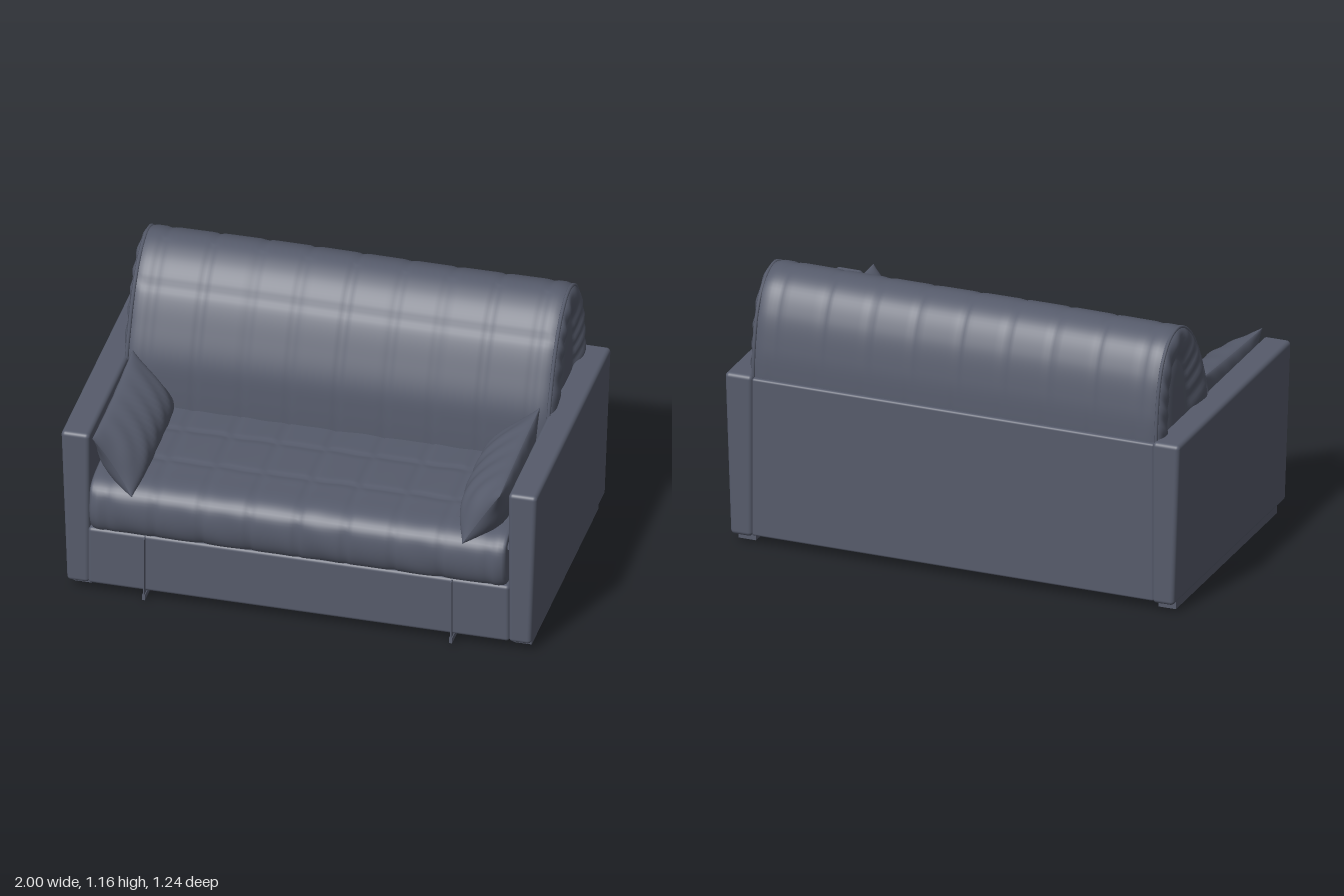
import * as THREE from 'three';
import { RoundedBoxGeometry } from 'three/addons/geometries/RoundedBoxGeometry.js';

const fabric = new THREE.MeshStandardMaterial({ color: 0x565b6b, side: THREE.DoubleSide });
fabric.name = 'slate fabric';

function add(parent, name, geometry, x = 0, y = 0, z = 0) {
  const mesh = new THREE.Mesh(geometry, fabric);
  mesh.name = name;
  mesh.position.set(x, y, z);
  parent.add(mesh);
  return mesh;
}

// Box given by its limits, with softened edges
function block(parent, name, x0, x1, y0, y1, z0, z1, r) {
  const geometry = r
    ? new RoundedBoxGeometry(x1 - x0, y1 - y0, z1 - z0, 3, r)
    : new THREE.BoxGeometry(x1 - x0, y1 - y0, z1 - z0);
  return add(parent, name, geometry, (x0 + x1) / 2, (y0 + y1) / 2, (z0 + z1) / 2);
}

// Smooth surface over an nu by nv grid of points f(i, j)
function surface(nu, nv, f) {
  const points = [], index = [];
  for (let i = 0; i <= nu; i++) for (let j = 0; j <= nv; j++) points.push(...f(i, j));
  for (let i = 0; i < nu; i++) for (let j = 0; j < nv; j++) {
    const a = i * (nv + 1) + j, b = a + nv + 1;
    index.push(a, b, a + 1, b, b + 1, a + 1);
  }
  const geometry = new THREE.BufferGeometry();
  geometry.setAttribute('position', new THREE.Float32BufferAttribute(points, 3));
  geometry.setIndex(index);
  geometry.computeVertexNormals();
  return geometry;
}

// Smooth profile through [z, y] pairs, sampled evenly
function profile(pairs, n) {
  const curve = new THREE.CatmullRomCurve3(pairs.map(([z, y]) => new THREE.Vector3(0, y, z)), false, 'centripetal');
  return curve.getSpacedPoints(n);
}

// Stations across the width: [x, inset], mirrored at both ends
function stations(end, half, n) {
  const list = end.map(([x, k]) => [-x, k]).reverse();
  for (let i = 0; i <= n; i++) list.push([-half + (2 * half * i) / n, 0]);
  return list.concat(end);
}

// Depth of a stitched groove at distance d
const groove = (d, w) => Math.exp(-((d / w) ** 2));
// Distance to the nearest seam, seams every 0.2
const seamDistance = x => Math.abs(x / 0.2 - Math.round(x / 0.2)) * 0.2;

// Arched back cushion with gathered ends and an oval end panel
function backCushion() {
  const n = 96;
  const outer = profile([[-0.02, 0.48], [-0.03, 0.64], [-0.045, 0.75], [-0.09, 0.87], [-0.165, 1.015], [-0.265, 1.12],
    [-0.372, 1.16], [-0.48, 1.12], [-0.548, 1.015], [-0.583, 0.87], [-0.594, 0.75], [-0.596, 0.48]], n);
  const inner = profile([[-0.22, 0.48], [-0.235, 0.72], [-0.262, 0.86], [-0.3, 0.97], [-0.365, 1.02],
    [-0.425, 0.98], [-0.452, 0.86], [-0.455, 0.72], [-0.455, 0.48]], n);
  const rows = stations([[0.875, 0.03], [0.89, 0.07], [0.9, 0.14], [0.907, 0.24], [0.909, 0.36], [0.905, 0.52],
    [0.897, 0.7], [0.886, 0.88], [0.874, 1], [0.882, 1.08], [0.887, 1.4], [0.888, 2]], 0.855, 100);
  const p = new THREE.Vector3(), middle = new THREE.Vector3();
  const geometry = surface(rows.length - 1, n, (i, j) => {
    let [x, k] = rows[i];
    const t = j / n;
    if (k <= 1) p.copy(outer[j]).lerp(inner[j], k);
    else {
      middle.set(0, 0.48 + (inner[j].y - 0.48) * 0.75, -0.355);
      p.copy(inner[j]).lerp(middle, k - 1);
    }
    if (k === 0) {
      // shallow quilting and a slightly uneven top
      const dip = 0.004 * groove(seamDistance(x), 0.012) + 0.003 * groove(t - 0.36, 0.012);
      p.y -= dip + 0.003 * Math.sin(x * 5) * t;
      p.z += (t < 0.5 ? -1 : 1) * dip;
    } else if (k < 1) {
      // gathers around the ends
      x += Math.sign(x) * 0.005 * Math.sin(Math.PI * k) * Math.sin(t * 95 + 1.5 * Math.sin(t * 17));
    }
    return [x, p.y, p.z];
  });
  return { geometry, outer };
}

// Quilted seat cushion with a bulging front
function seatCushion() {
  const n = 70;
  const section = profile([[0.5, 0.3], [0.575, 0.305], [0.604, 0.345], [0.616, 0.42], [0.6, 0.49], [0.55, 0.53],
    [0.42, 0.545], [0.2, 0.55], [0, 0.548], [-0.12, 0.545]], n);
  const rows = stations([[0.86, 0.02], [0.87, 0.05], [0.875, 0.1], [0.875, 0.3]], 0.84, 100);
  return surface(rows.length - 1, n, (i, j) => {
    const [x, k] = rows[i], p = section[j];
    const onTop = THREE.MathUtils.smoothstep(p.y, 0.46, 0.53);
    const seam = groove(seamDistance(x), 0.012);
    const cross = onTop * Math.max(groove(p.z - 0.13, 0.014), groove(p.z - 0.36, 0.014));
    const fold = 0.0025 * Math.sin(x * 31 + p.z * 14 + p.y * 20) * Math.sin(x * 7 + 1);
    const y = p.y + (0.42 - p.y) * k - onTop * (0.006 * Math.max(seam, cross) - fold);
    const z = p.z - k * 0.25 * (1 - onTop) - (1 - onTop) * (0.007 * seam - fold);
    return [x, y, z];
  });
}

// Soft pillow with pinched corners; thickness runs along x
function pillowSide(side) {
  const n = 32;
  return surface(n, n, (i, j) => {
    const a = Math.sin((i / n - 0.5) * Math.PI), b = side * Math.sin((j / n - 0.5) * Math.PI);
    const puff = Math.pow(Math.max(0, (1 - a ** 4) * (1 - b * b)), 0.6);
    const crease = 0.004 * Math.sin(a * 16 + b * 6) * puff;
    return [
      -side * (0.1 * puff * (1 - 0.35 * b) + crease),
      0.155 * b * (1 - 0.07 * (1 - a * a)),
      0.325 * a * (1 - 0.06 * (1 - b * b)),
    ];
  });
}

// Arm with its outer face leaning in towards the floor
function armGeometry(side) {
  const geometry = new RoundedBoxGeometry(0.12, 0.71, 1.195, 4, 0.018);
  const pos = geometry.attributes.position;
  for (let i = 0; i < pos.count; i++) {
    if (pos.getX(i) * side > 0) pos.setX(i, pos.getX(i) - side * 0.025 * (0.5 - pos.getY(i) / 0.71));
  }
  return geometry;
}

export function createModel() {
  const sofa = new THREE.Group();
  sofa.name = 'sofa';

  // Body
  block(sofa, 'base', -0.885, 0.885, 0.04, 0.305, -0.6, 0.578, 0.015);
  block(sofa, 'backPanel', -0.885, 0.885, 0.04, 0.735, -0.61, -0.565, 0.01);

  // Cushions
  add(sofa, 'seatCushion', seatCushion());
  const back = backCushion();
  add(sofa, 'backCushion', back.geometry);

  for (const side of [-1, 1]) {
    const label = side > 0 ? 'left' : 'right';
    add(sofa, label + 'Arm', armGeometry(side), side * 0.94, 0.392, -0.0225);
    const foot = block(sofa, label + 'Foot', 0.885, 0.962, 0, 0.045, -0.56, 0.51);
    foot.position.x *= side;

    // Piping around the end of the back cushion
    const path = back.outer.filter((p, i) => i % 6 === 0)
      .map(p => new THREE.Vector3(side * 0.886, 0.48 + (p.y - 0.48) * 0.988, -0.33 + (p.z + 0.33) * 0.98));
    add(sofa, label + 'Piping', new THREE.TubeGeometry(new THREE.CatmullRomCurve3(path), 60, 0.008, 6));

    // Pillow leaning on the arm
    const pillow = new THREE.Group();
    pillow.name = label + 'Pillow';
    for (const face of [-1, 1]) add(pillow, 'pillowFace', pillowSide(face));
    pillow.position.set(side * 0.775, 0.645, 0.285);
    pillow.rotation.set(0.05, 0, -side * 0.55);
    sofa.add(pillow);

    // Pull-out frame: front plate, runner and castor
    block(sofa, label + 'FramePlate', side * 0.645 - 0.003, side * 0.645 + 0.003, 0.01, 0.3, 0.55, 0.6);
    block(sofa, label + 'Runner', side * 0.645 - 0.006, side * 0.645 + 0.006, 0.01, 0.035, -0.05, 0.6);
    const castor = add(sofa, label + 'Castor', new THREE.CylinderGeometry(0.014, 0.014, 0.02, 12), side * 0.6, 0.026, -0.07);
    castor.rotation.z = Math.PI / 2;
  }
  block(sofa, 'frameCrossbar', -0.645, 0.645, 0.01, 0.035, -0.05, -0.036);

  return sofa;
}
